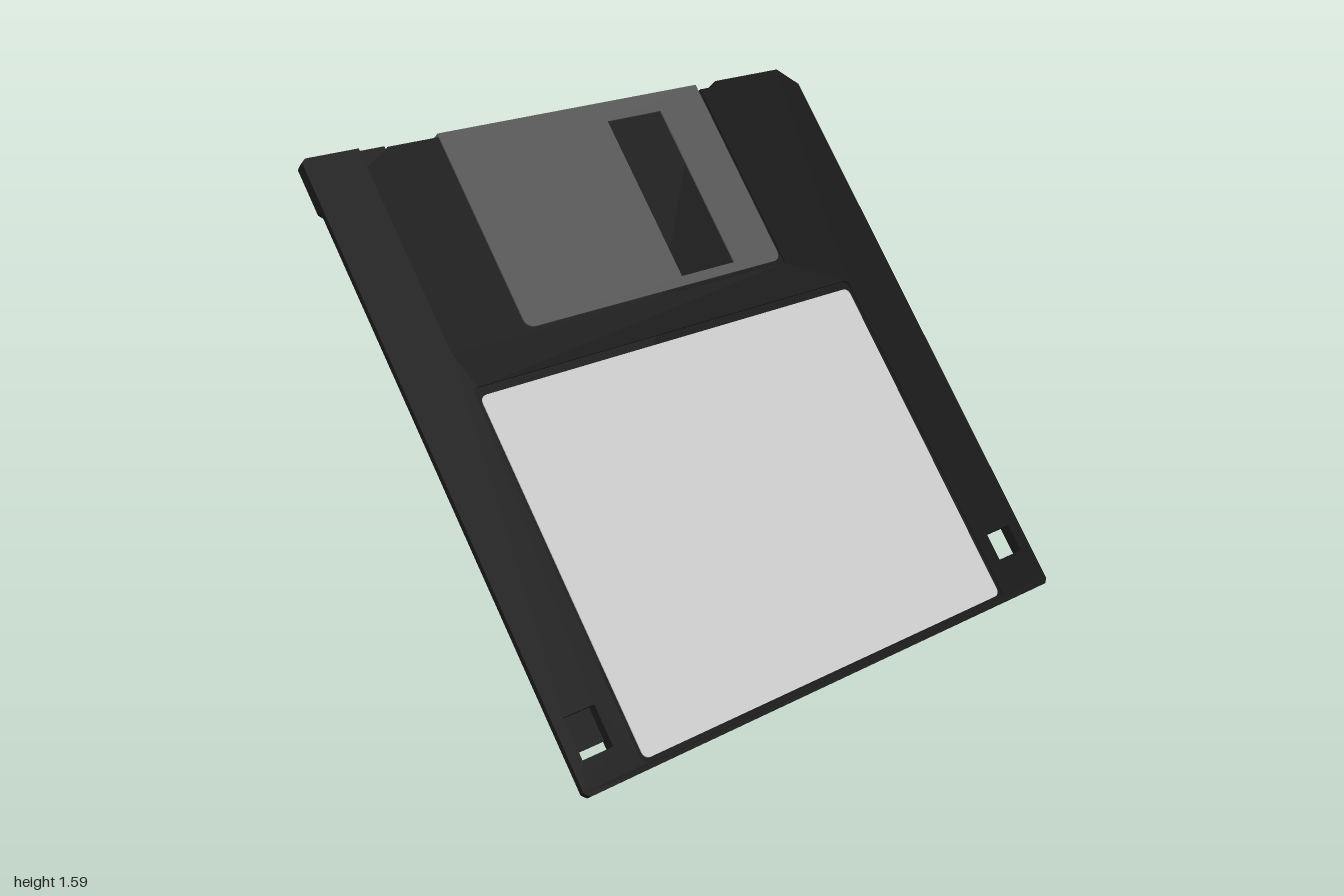
import * as THREE from 'three';

const mat = (color) => new THREE.MeshStandardMaterial({ color });
const shellMat = mat(0x161616);
const metalMat = mat(0x575757);
const labelMat = mat(0xcccccc);

const shapeOf = (points) => new THREE.Shape(points.map(([x, y]) => new THREE.Vector2(x, y)));

// Rectangle with separate bottom and top corner radii
function rect(x0, x1, y0, y1, rb = 0, rt = rb) {
  const pts = [];
  const corner = (cx, cy, r, start) => {
    const n = r > 0 ? 5 : 0;
    for (let i = 0; i <= n; i++) {
      const a = start + (n ? (i / n) * Math.PI / 2 : 0);
      pts.push([cx + r * Math.cos(a), cy + r * Math.sin(a)]);
    }
  };
  corner(x1 - rb, y0 + rb, rb, -Math.PI / 2);
  corner(x1 - rt, y1 - rt, rt, 0);
  corner(x0 + rt, y1 - rt, rt, Math.PI / 2);
  corner(x0 + rb, y0 + rb, rb, Math.PI);
  return shapeOf(pts);
}

const circle = (x, y, r) => new THREE.Shape().absarc(x, y, r, 0, Math.PI * 2);

// Flat plate between two depths, with cut-outs
function plate(name, shape, z0, z1, material, holes = []) {
  shape.holes.push(...holes);
  const geo = new THREE.ExtrudeGeometry(shape, { depth: z1 - z0, bevelEnabled: false, curveSegments: 32 });
  geo.translate(0, 0, z0);
  const mesh = new THREE.Mesh(geo, material);
  mesh.name = name;
  return mesh;
}

// Shell outline: s = half width below the grips, b = indent of the bottom edge
function outline(s, b, top) {
  return shapeOf([
    [-s + 0.015, -1.02], [-0.8, -1.02], [-0.79, -1.02 + b], [0.79, -1.02 + b], [0.8, -1.02],
    [s - 0.015, -1.02], [s, -1.005], [s, 0.83], [1, 0.85], [1, 0.95], [0.935, 1.02],
    [0.64, 1.02], [0.62, 1.0],
    ...top,
    [-0.985, 1.02], [-1, 1.005], [-1, 0.85], [-s, 0.83], [-s, -1.005],
  ]);
}

export function createModel() {
  const model = new THREE.Group();
  model.name = 'floppyDisk';
  const disk = new THREE.Group();
  disk.name = 'tiltedDisk';
  model.add(disk);

  const H = 0.02;      // half thickness
  const C = 0.014;     // half thickness of the core under the outer skins
  const hub = [0.02, -0.02];
  const cornerHoles = () => [
    rect(0.84, 0.95, -0.885, -0.79),
    rect(-0.96, -0.85, -0.92, -0.79),
  ];

  // Shell: two core halves and two skins with the shutter track cut out
  const shutterTop = [[0.55, 1.0], [0.55, 1.01], [-0.515, 1.01]];
  const track = [[0.56, 1.0], [0.56, 0.32], [-0.8, 0.32], [-0.8, 1.02]];
  disk.add(
    plate('frontCore', outline(1, 0, [...shutterTop, [-0.7, 1.01], [-0.715, 1.0], [-0.8, 1.0], [-0.8, 1.02]]),
      0, C, shellMat, cornerHoles()),
    plate('backCore', outline(0.98, 0.012, [...shutterTop, [-0.7, 1.005], [-0.7, 1.02]]),
      -C, 0, shellMat, [...cornerHoles(), circle(...hub, 0.3)]),
    plate('frontSkin', outline(1, 0, track), C, H, shellMat,
      [...cornerHoles(), rect(-0.785, 0.785, -1.0, 0.2, 0.02)]),
    plate('backSkin', outline(0.98, 0.012, track), -H, -C, shellMat,
      [...cornerHoles(), circle(...hub, 0.3), circle(0.91, 0.73, 0.04), circle(-0.91, 0.73, 0.04)]),
  );

  // Write-protect slider
  disk.add(plate('writeProtectTab', rect(-0.96, -0.85, -0.895, -0.79), -H, -0.012, shellMat));

  // Paper label in its recess
  disk.add(plate('label', rect(-0.77, 0.77, -0.99, 0.172, 0.022), C, 0.018, labelMat));

  // Sliding shutter: two faces joined over the top edge
  const shutter = new THREE.Group();
  shutter.name = 'shutter';
  const face = () => rect(-0.515, 0.55, 0.335, 1.02, 0.03, 0);
  const backWindow = shapeOf([
    [0.125, 0.368], [0.355, 0.368], [0.355, 0.95], [0.265, 0.95], [0.265, 0.975],
    [0.215, 0.975], [0.215, 0.95], [0.125, 0.95],
  ]);
  shutter.add(
    plate('shutterFront', face(), C + 0.001, H, metalMat, [rect(0.125, 0.355, 0.368, 0.95)]),
    plate('shutterBack', face(), -H, -C - 0.001, metalMat, [backWindow, rect(-0.47, -0.425, 0.945, 0.975)]),
  );
  for (const [x0, x1] of [[-0.515, -0.355], [-0.315, 0.55]]) {
    shutter.add(plate('shutterTop', rect(x0, x1, 1.01, 1.02), -C - 0.001, C + 0.001, metalMat));
  }
  disk.add(shutter);

  // Drive hub with its spindle and drive slots
  const [hx, hy] = hub;
  disk.add(plate('hub', circle(hx, hy, 0.27), -0.017, 0, metalMat, [
    rect(hx - 0.045, hx + 0.045, hy - 0.045, hy + 0.045, 0.015),
    rect(hx - 0.12, hx + 0.05, hy + 0.087, hy + 0.207, 0.03),
  ]));

  // Lean the disk back and rest it on its lower edge
  disk.rotation.x = -THREE.MathUtils.degToRad(40);
  disk.position.y = 0.794;
  return model;
}
